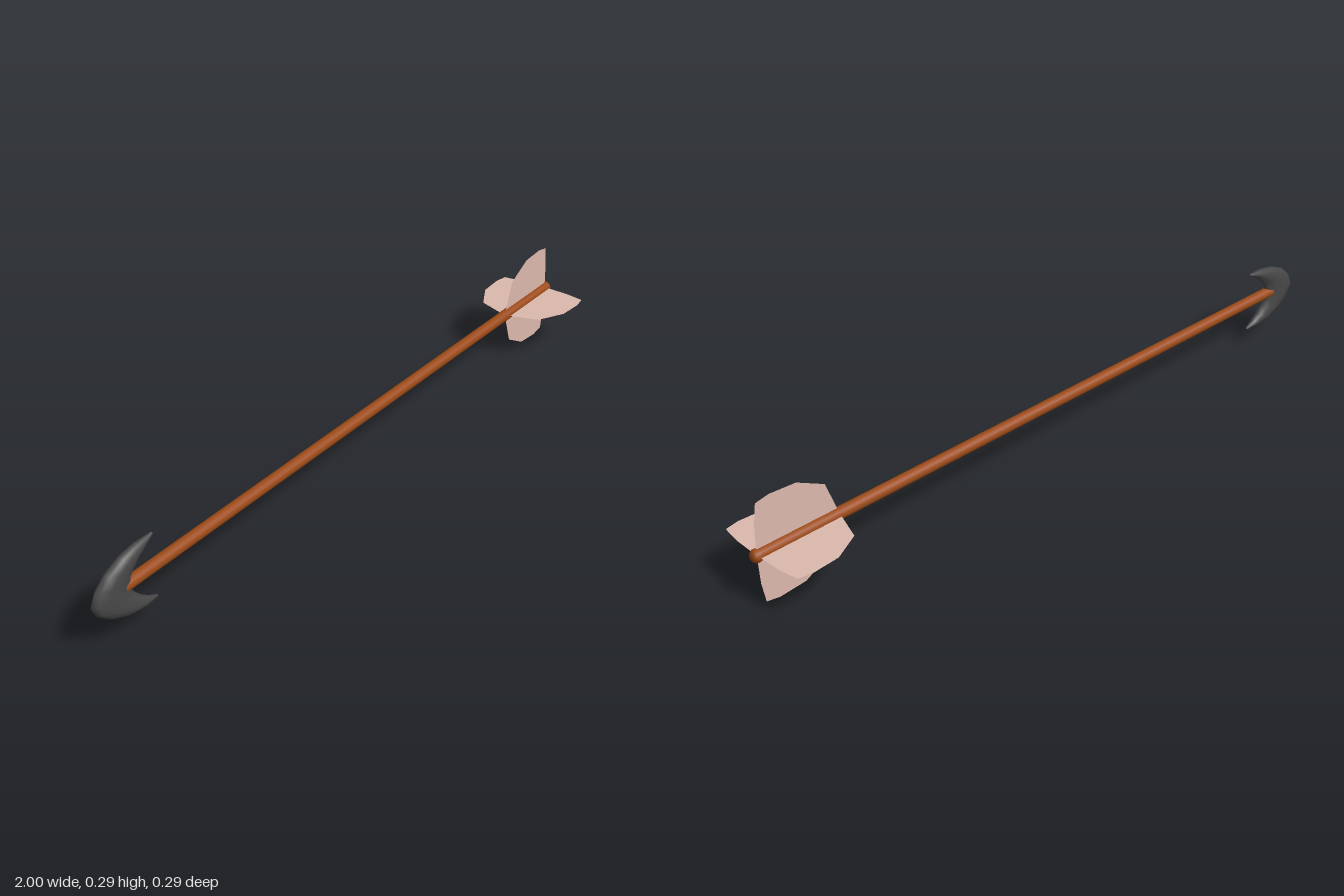
import * as THREE from 'three';

const AXIS_Y = 0.143;

// Barbed head: elliptical cross-sections swept from the lower barb, round the tip, to the upper barb
function headGeometry() {
  // [outer x, outer y, inner x, inner y, half thickness]
  const half = [
    [-1, 0, -0.87, 0, 0.018],
    [-0.985, 0.03, -0.873, 0.018, 0.018],
    [-0.95, 0.06, -0.862, 0.036, 0.018],
    [-0.9, 0.081, -0.842, 0.056, 0.017],
    [-0.85, 0.09, -0.82, 0.072, 0.013],
    [-0.795, 0.092, -0.793, 0.086, 0.004],
  ];
  const mirrored = half.slice(1).reverse().map(([a, b, c, d, t]) => [a, -b, c, -d, t]);
  const stations = [...mirrored, ...half];
  const sides = 10;
  const pos = [];
  const index = [];
  stations.forEach(([ox, oy, ix, iy, t], s) => {
    for (let k = 0; k < sides; k++) {
      const a = (k / sides) * Math.PI * 2;
      const u = (1 - Math.cos(a)) / 2;
      pos.push(ox + (ix - ox) * u, oy + (iy - oy) * u, t * Math.sin(a));
      if (s === 0) continue;
      const p = (s - 1) * sides;
      const n = (k + 1) % sides;
      index.push(p + k, p + n, p + sides + k, p + n, p + sides + n, p + sides + k);
    }
  });
  // close the barb ends
  const last = (stations.length - 1) * sides;
  for (let k = 1; k < sides - 1; k++) {
    index.push(0, k + 1, k, last, last + k, last + k + 1);
  }
  const geo = new THREE.BufferGeometry();
  geo.setAttribute('position', new THREE.Float32BufferAttribute(pos, 3));
  geo.setIndex(index);
  geo.computeVertexNormals();
  return geo;
}

// One flat vane spanning both sides of the shaft
function vaneGeometry() {
  const edge = [
    [0.754, 0.017], [0.782, 0.097], [0.86, 0.138], [0.935, 0.143],
    [0.973, 0.136], [0.982, 0.08], [0.984, 0.017],
  ];
  const outline = [...edge, ...edge.slice().reverse().map(([x, y]) => [x, -y])];
  return new THREE.ShapeGeometry(new THREE.Shape(outline.map(([x, y]) => new THREE.Vector2(x, y))));
}

export function createModel() {
  const model = new THREE.Group();
  model.name = 'arrow';
  const add = (name, geometry, material) => {
    const mesh = new THREE.Mesh(geometry, material);
    mesh.name = name;
    mesh.position.y = AXIS_Y;
    model.add(mesh);
    return mesh;
  };

  const wood = new THREE.MeshStandardMaterial({ color: 0x9c4a16 });
  const iron = new THREE.MeshStandardMaterial({ color: 0x484848 });
  const feather = new THREE.MeshStandardMaterial({ color: 0xdcb8ae, side: THREE.DoubleSide });

  // Shaft with a rounded nock end
  const profile = [
    [0, -0.9], [0.016, -0.9], [0.016, 0.98], [0.0175, 0.985],
    [0.0165, 0.992], [0.011, 0.998], [0, 1],
  ].map(([r, y]) => new THREE.Vector2(r, y));
  add('shaft', new THREE.LatheGeometry(profile, 16).rotateZ(-Math.PI / 2), wood);

  add('head', headGeometry(), iron);

  // Crossed vanes
  add('verticalVane', vaneGeometry(), feather);
  add('horizontalVane', vaneGeometry(), feather).rotation.x = -Math.PI / 2;

  return model;
}
